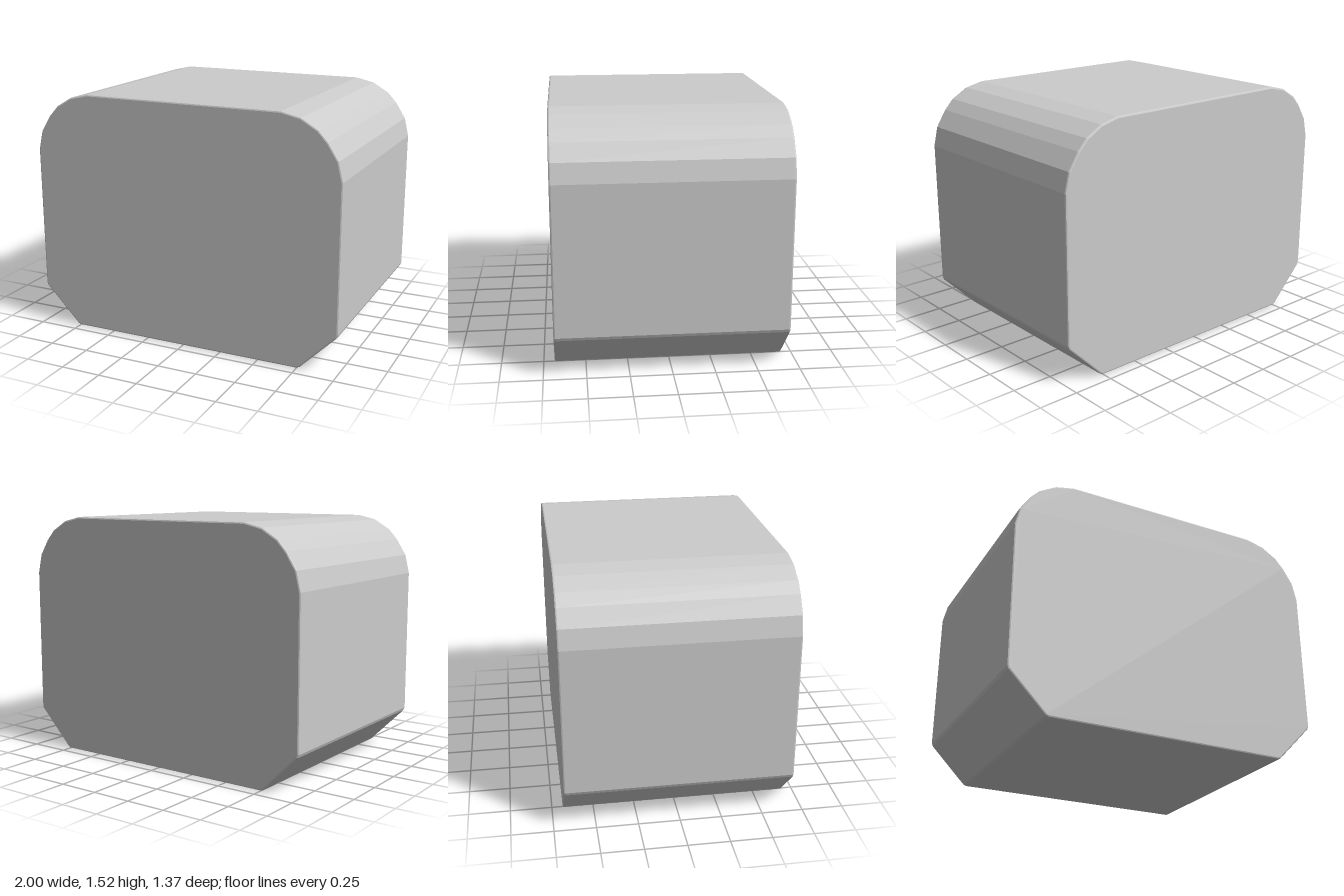
import * as THREE from 'three';

export function createModel() {
  const group = new THREE.Group();
  group.name = 'roundedBlock';

  // Right half of the outline: chamfered foot, straight side, faceted shoulder
  const half = [
    [0.75, 0], [0.768, 0.008], [0.992, 0.234], [1, 0.253],
    [1, 1.15], [0.972, 1.267], [0.908, 1.367],
    [0.85, 1.43], [0.748, 1.49], [0.63, 1.517],
  ].map(([x, y]) => new THREE.Vector2(x, y));
  const mirrored = half.map((p) => new THREE.Vector2(-p.x, p.y)).reverse();
  const outline = new THREE.Shape([...half, ...mirrored]);

  // Extruded front to back, with a fine bevel kept inside the outline
  const depth = 1.37, bevel = 0.01;
  const geometry = new THREE.ExtrudeGeometry(outline, {
    depth: depth - 2 * bevel,
    bevelEnabled: true,
    bevelThickness: bevel,
    bevelSize: bevel,
    bevelOffset: -bevel,
    bevelSegments: 2,
  });
  geometry.translate(0, 0, bevel - depth / 2);

  const body = new THREE.Mesh(
    geometry,
    new THREE.MeshStandardMaterial({ color: 0xcccccc, flatShading: true }),
  );
  body.name = 'body';
  group.add(body);
  return group;
}
